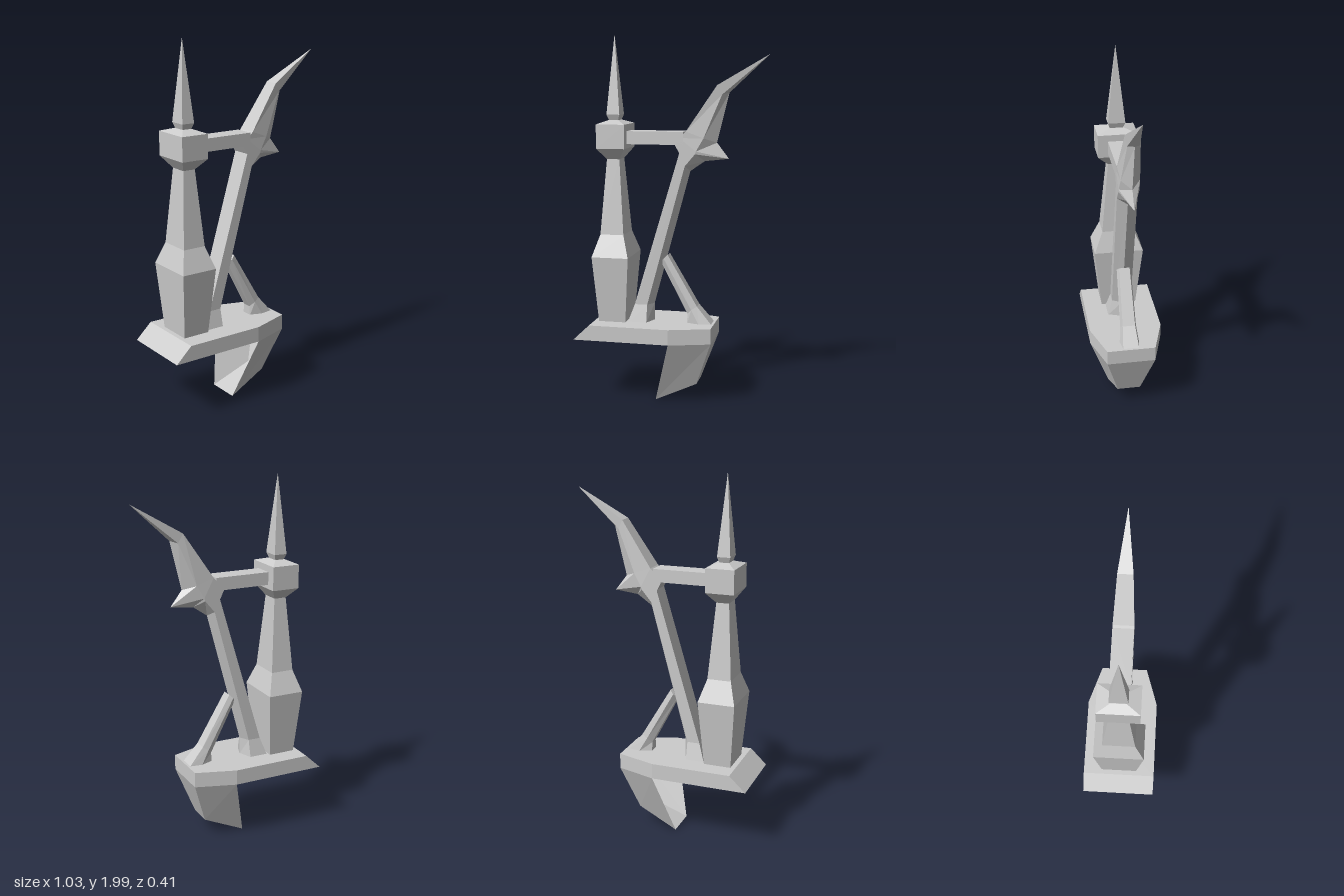
import * as THREE from 'three';

const stone = new THREE.MeshStandardMaterial({ color: 0xcccccc, flatShading: true, side: THREE.DoubleSide });
stone.name = 'light grey';

// Mirror a half section (z > 0, from -x round to +x) into a full ring
const ring = (half) => [
  ...half,
  ...half.filter((p) => p[2] > 0).reverse().map(([x, y, z]) => [x, y, -z]),
];

// Skin a stack of rings, lowest first
function loft(name, halves, { bottom = true, top = true, wrap = true } = {}) {
  const rings = halves.map(ring);
  const n = rings[0].length;
  const pos = [];
  const tri = (a, b, c) => pos.push(...a, ...b, ...c);
  for (let s = 0; s < rings.length - 1; s++) {
    const a = rings[s], b = rings[s + 1];
    for (let i = 0; i < (wrap ? n : n - 1); i++) {
      const j = (i + 1) % n;
      tri(a[i], a[j], b[j]);
      tri(a[i], b[j], b[i]);
    }
  }
  const first = rings[0], last = rings[rings.length - 1];
  for (let i = 1; i < n - 1; i++) {
    if (bottom) tri(first[0], first[i + 1], first[i]);
    if (top) tri(last[0], last[i], last[i + 1]);
  }
  const geo = new THREE.BufferGeometry();
  geo.setAttribute('position', new THREE.Float32BufferAttribute(pos, 3));
  geo.computeVertexNormals();
  const mesh = new THREE.Mesh(geo, stone);
  mesh.name = name;
  return mesh;
}

// Square tapering stack centred on the tower axis: [y, half x, half z]
const towerX = -0.328;
const stack = (name, levels) =>
  loft(name, levels.map(([y, hx, hz]) => [[towerX - hx, y, hz], [towerX + hx, y, hz]]));

export function createModel() {
  const model = new THREE.Group();
  model.name = 'monument';

  // Hollow plinth, open underneath
  model.add(loft('base', [
    [[-0.52, 0.35, 0.205], [0.01, 0.35, 0.205], [0.23, 0.35, 0.135]],
    [[-0.43, 0.435, 0.205], [0.01, 0.435, 0.205], [0.23, 0.435, 0.135]],
  ], { bottom: false }));

  // Keel hanging from the plinth, open towards -x
  model.add(loft('keel', [
    [[-0.085, 0.003, 0.09], [0.14, 0.10, 0.065]],
    [[0.01, 0.35, 0.205], [0.23, 0.35, 0.135]],
  ], { top: false, wrap: false }));

  // Tower with block head and spire
  model.add(stack('tower', [
    [0.43, 0.075, 0.10], [0.80, 0.102, 0.14], [0.92, 0.065, 0.09], [1.33, 0.035, 0.05],
  ]));
  model.add(stack('towerBlock', [
    [1.33, 0.035, 0.05], [1.39, 0.078, 0.11], [1.52, 0.078, 0.11], [1.54, 0.028, 0.04],
  ]));
  model.add(stack('spire', [[1.535, 0.024, 0.034], [1.57, 0.036, 0.048], [1.995, 0.0005, 0.0005]]));

  // Bar from tower to the horned column
  const bar = new THREE.Mesh(new THREE.BoxGeometry(0.32, 0.07, 0.11), stone);
  bar.position.set(-0.1, 1.448, 0);
  bar.name = 'crossBar';
  model.add(bar);

  // Leaning column: [back edge, front edge, ridge] sections up to the beak and horn
  model.add(loft('hornedColumn', [
    [[-0.245, 0.43, 0.08], [-0.14, 0.43, 0.08], [-0.11, 0.43, 0]],
    [[-0.21, 0.53, 0.055], [-0.14, 0.53, 0.055], [-0.11, 0.53, 0]],
    [[0.04, 1.37, 0.055], [0.07, 1.30, 0.055], [0.09, 1.27, 0]],
    [[0.015, 1.413, 0.055], [0.125, 1.365, 0.055], [0.17, 1.325, 0]],
    [[0.04, 1.45, 0.055], [0.13, 1.38, 0.055], [0.30, 1.34, 0]],
    [[0.075, 1.485, 0.055], [0.17, 1.45, 0.05], [0.235, 1.425, 0]],
    [[0.24, 1.73, 0.04], [0.265, 1.68, 0.032], [0.30, 1.69, 0]],
    [[0.514, 1.892, 0.0005], [0.514, 1.892, 0.0005], [0.514, 1.892, 0]],
  ]));

  // Diagonal brace: [inner, middle, outer] edges
  model.add(loft('brace', [
    [[0.08, 0.43, 0.03], [0.15, 0.43, 0.055], [0.22, 0.43, 0.045]],
    [[0.08, 0.485, 0.025], [0.105, 0.51, 0.045], [0.135, 0.53, 0.035]],
    [[-0.07, 0.77, 0.02], [-0.05, 0.79, 0.04], [-0.03, 0.81, 0.03]],
  ]));

  return model;
}
